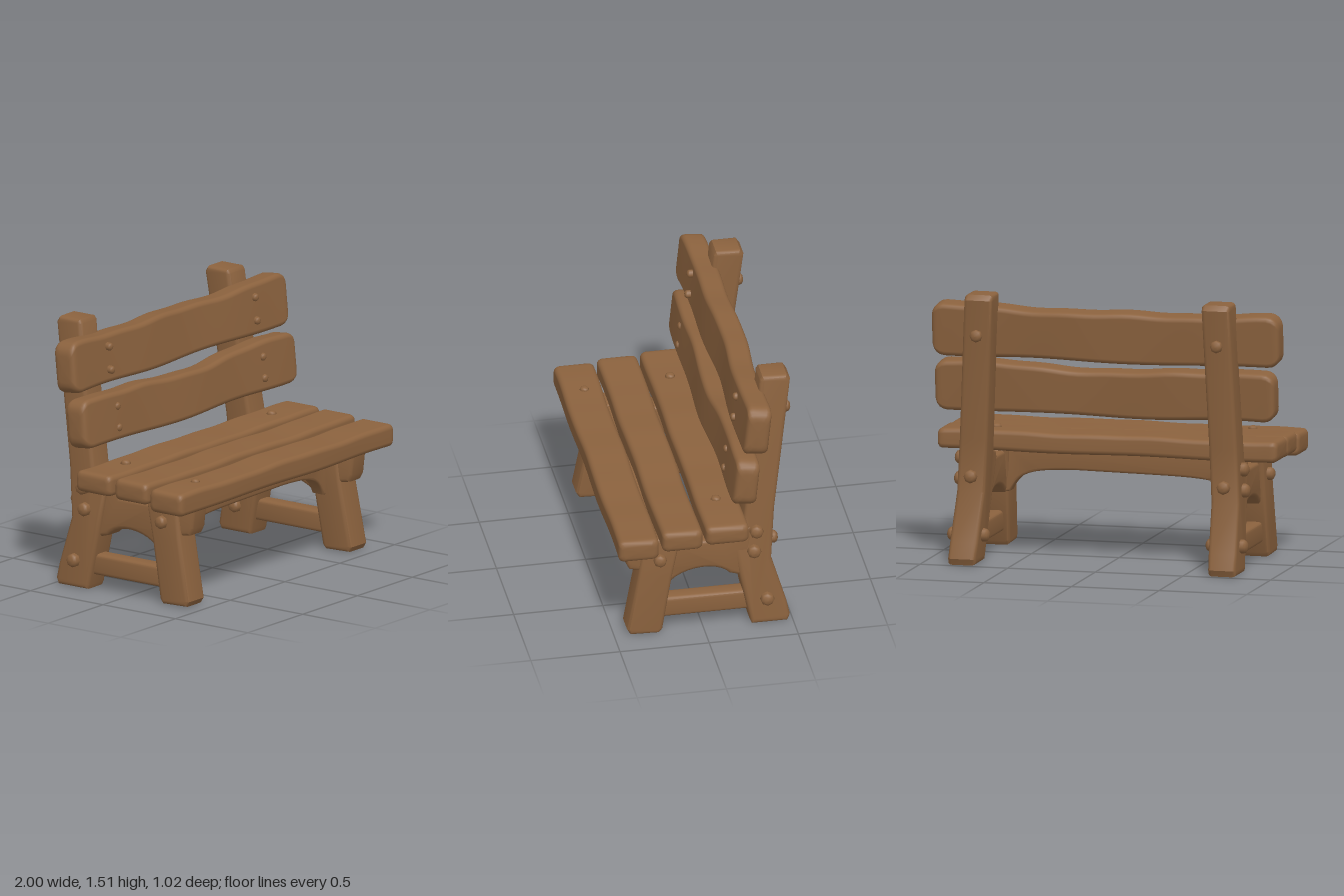
import * as THREE from 'three';
import { toCreasedNormals } from 'three/addons/utils/BufferGeometryUtils.js';

const wood = new THREE.MeshStandardMaterial({ color: 0x8b623e });
wood.name = 'brown wood';

function add(group, name, geometry) {
  const mesh = new THREE.Mesh(geometry, wood);
  mesh.name = name;
  group.add(mesh);
  return mesh;
}

// Points of a rounded rectangle, going from y towards z
function roundedRing(hy, hz, r) {
  const pts = [];
  [[1, 1], [-1, 1], [-1, -1], [1, -1]].forEach(([sy, sz], q) => {
    for (let k = 0; k <= 4; k++) {
      const a = (q + k / 4) * Math.PI / 2;
      pts.push([sy * (hy - r) + r * Math.cos(a), sz * (hz - r) + r * Math.sin(a)]);
    }
  });
  return pts;
}

// Wavy, worn plank lofted along x
function plank({ x0, x1, h, d, endR = 0.06, dip = 0, bow = 0, wave = 0.004, seed = 0 }) {
  const inset = (e, r) => (e >= r ? 0 : r - Math.sqrt(r * r - (r - e) ** 2));
  const xs = [];
  const ends = [0, 0.004, 0.012, 0.025, 0.045, 0.07];
  ends.forEach(e => xs.push(x0 + e));
  for (let i = 1; i < 36; i++) xs.push(x0 + 0.07 + (x1 - x0 - 0.14) * i / 36);
  ends.slice().reverse().forEach(e => xs.push(x1 - e));
  const pos = [], idx = [], n = 20;
  xs.forEach(x => {
    const e = Math.min(x - x0, x1 - x);
    const hy = h / 2 - inset(e, endR), hz = d / 2 - inset(e, 0.03);
    const mid = Math.cos(x * Math.PI / 2) ** 2;
    const top = -dip * mid + wave * Math.sin(7 * x + seed) + wave * 0.5 * Math.sin(17 * x + 2 * seed);
    const bottom = -dip * 0.2 * mid + wave * Math.sin(6 * x + 3 * seed);
    const dz = bow * mid + wave * Math.sin(8 * x + 5 * seed);
    for (const [y, z] of roundedRing(hy, hz, Math.min(0.028, hy * 0.6, hz * 0.6)))
      pos.push(x, y + (y > 0 ? top : bottom), z + dz);
  });
  for (let i = 0; i < xs.length - 1; i++)
    for (let j = 0; j < n; j++) {
      const a = i * n + j, b = i * n + (j + 1) % n;
      idx.push(a, b, a + n, b, b + n, a + n);
    }
  // End caps
  const last = (xs.length - 1) * n, c = xs.length * n;
  pos.push(x0, 0, bow * 0.02, x1, 0, bow * 0.02);
  for (let j = 0; j < n; j++) {
    const k = (j + 1) % n;
    idx.push(c, k, j, c + 1, last + j, last + k);
  }
  const g = new THREE.BufferGeometry();
  g.setAttribute('position', new THREE.Float32BufferAttribute(pos, 3));
  g.setIndex(idx);
  g.computeVertexNormals();
  return g;
}

// Board cut from an outline, with softened edges, centred on its thickness
function board(shape, thickness, bevel = 0.022) {
  const g = new THREE.ExtrudeGeometry(shape, {
    depth: thickness - 2 * bevel, bevelEnabled: true, bevelThickness: bevel,
    bevelSize: bevel, bevelOffset: -bevel, bevelSegments: 3, curveSegments: 10,
  });
  g.translate(0, 0, -(thickness - 2 * bevel) / 2);
  return g;
}

// Board in the side plane: outline is (z, y), x follows the leaning centre line
function sideBoard(shape, thickness, centre) {
  const g = board(shape, thickness).rotateY(-Math.PI / 2);
  const p = g.attributes.position;
  for (let i = 0; i < p.count; i++) p.setX(i, p.getX(i) + centre(p.getY(i)));
  return toCreasedNormals(g, 0.6);
}

const outline = pts => new THREE.Shape(pts.map(([a, b]) => new THREE.Vector2(a, b)));

// Domed bolt head pointing along a direction
function bolt(group, r, at, dir) {
  const profile = [[0.001, 1], [0.5, 0.95], [0.85, 0.7], [1, 0.35], [1, -0.6]];
  const g = new THREE.LatheGeometry(profile.map(([a, b]) => new THREE.Vector2(a * r, b * r * 0.9)).reverse(), 8);
  const m = add(group, 'bolt', g);
  m.position.set(...at);
  m.quaternion.setFromUnitVectors(new THREE.Vector3(0, 1, 0), new THREE.Vector3(...dir));
}

export function createModel() {
  const bench = new THREE.Group();
  bench.name = 'bench';

  // Seat planks
  const seat = [
    ['frontSeatPlank', -0.95, 1.0, 0.63, 0.39, 0.125, 0.225],
    ['middleSeatPlank', -0.95, 0.98, 0.653, 0.145, 0.115, 0.225],
    ['rearSeatPlank', -0.96, 0.98, 0.665, -0.108, 0.115, 0.24],
  ];
  seat.forEach(([name, x0, x1, y, z, h, d], i) => {
    add(bench, name, plank({ x0, x1, h, d, endR: 0.03, wave: 0.003, seed: i + 1 })).position.set(0, y, z);
  });

  // Backrest slats, leaning back
  const upper = add(bench, 'upperBackSlat',
    plank({ x0: -1, x1: 0.98, h: 0.285, d: 0.135, endR: 0.07, dip: 0.012, bow: -0.02, wave: 0.006, seed: 2 }));
  upper.position.set(0, 1.297, -0.275);
  const lower = add(bench, 'lowerBackSlat',
    plank({ x0: -0.96, x1: 0.98, h: 0.285, d: 0.13, endR: 0.07, dip: 0.035, bow: 0.01, wave: 0.006, seed: 4 }));
  lower.position.set(0, 0.982, -0.222);
  upper.rotation.x = lower.rotation.x = -0.1;

  // Side outlines
  const postShape = outline([
    [-0.27, 0.005], [-0.47, 0.005], [-0.485, 0.04], [-0.465, 0.13], [-0.385, 0.4], [-0.405, 0.7],
    [-0.475, 1.25], [-0.505, 1.49], [-0.485, 1.52], [-0.35, 1.52], [-0.335, 1.5], [-0.3, 1.15],
    [-0.235, 0.68], [-0.225, 0.62], [-0.17, 0.605], [-0.152, 0.57], [-0.2, 0.33], [-0.26, 0.03],
  ]);
  const legShape = outline([
    [0.41, 0.01], [0.25, 0.005], [0.23, 0.03], [0.175, 0.35], [0.125, 0.59], [0.33, 0.6], [0.362, 0.39], [0.428, 0.04],
  ]);
  const apronShape = outline([
    [0.445, 0.58], [0.43, 0.45], [0.41, 0.41], [0.3, 0.39], [0.22, 0.29], [0.18, 0.31],
  ]);
  apronShape.bezierCurveTo(0.09, 0.395, -0.09, 0.4, -0.15, 0.325);
  [[-0.2, 0.31], [-0.27, 0.32], [-0.27, 0.61], [-0.075, 0.61], [-0.065, 0.55], [0.13, 0.55], [0.15, 0.58]]
    .forEach(([a, b]) => apronShape.lineTo(a, b));

  // Each side leans a little differently
  const sides = [
    { name: 'left', s: 1, post: y => 0.772 - 0.068 * y, leg: y => 0.772 - 0.03 * y, apron: 0.755, slatX: 0.67 },
    { name: 'right', s: -1, post: y => -0.715 + 0.022 * y, leg: y => -0.713 + 0.02 * y, apron: -0.695, slatX: -0.66 },
  ];
  for (const { name, s, post, leg, apron, slatX } of sides) {
    const side = new THREE.Group();
    side.name = name + 'Side';
    bench.add(side);
    add(side, 'backPost', sideBoard(postShape, 0.16, post));
    add(side, 'frontLeg', sideBoard(legShape, 0.16, leg));
    add(side, 'sideApron', sideBoard(apronShape, 0.13, () => apron));
    const bar = outline([[0.27, 0.085], [0.27, 0.205], [-0.32, 0.205], [-0.32, 0.085]]);
    add(side, 'stretcher', sideBoard(bar, 0.1, () => leg(0.15)));

    // Bolts on the outer and inner faces
    const out = [s, 0, 0], inner = [-s, 0, 0];
    [[0.58, -0.3], [0.46, -0.285], [0.16, -0.355]].forEach(([y, z]) =>
      bolt(side, 0.039, [post(y) + s * 0.085, y, z], out));
    bolt(side, 0.037, [leg(0.47) + s * 0.085, 0.47, 0.245], out);
    bolt(side, 0.037, [post(0.16) - s * 0.085, 0.16, -0.355], inner);
    // Bolts on the back of the post
    bolt(side, 0.035, [post(1.29), 1.29, -0.482], [0, 0, -1]);
    bolt(side, 0.037, [post(0.49), 0.49, -0.4], [0, 0, -1]);
    // Small pegs on the slats and seat
    [[1.37, -0.215], [1.24, -0.202], [1.04, -0.163], [0.92, -0.151]].forEach(([y, z]) =>
      bolt(side, 0.023, [slatX, y, z], [0, 0, 1]));
    bolt(side, 0.028, [slatX, 0.718, -0.1], [0, 1, 0]);
    if (s < 0) bolt(side, 0.026, [slatX, 0.688, 0.38], [0, 1, 0]);
  }

  // Arched rail between the front legs
  const rail = outline([[-0.66, 0.59], [-0.66, 0.31], [-0.625, 0.32]]);
  rail.bezierCurveTo(-0.56, 0.42, -0.52, 0.435, -0.2, 0.442);
  rail.lineTo(0.3, 0.45);
  rail.bezierCurveTo(0.55, 0.445, 0.62, 0.43, 0.67, 0.32);
  rail.lineTo(0.71, 0.31);
  rail.lineTo(0.71, 0.59);
  add(bench, 'frontRail', toCreasedNormals(board(rail, 0.09, 0.015), 0.6)).position.z = 0.22;

  return bench;
}
